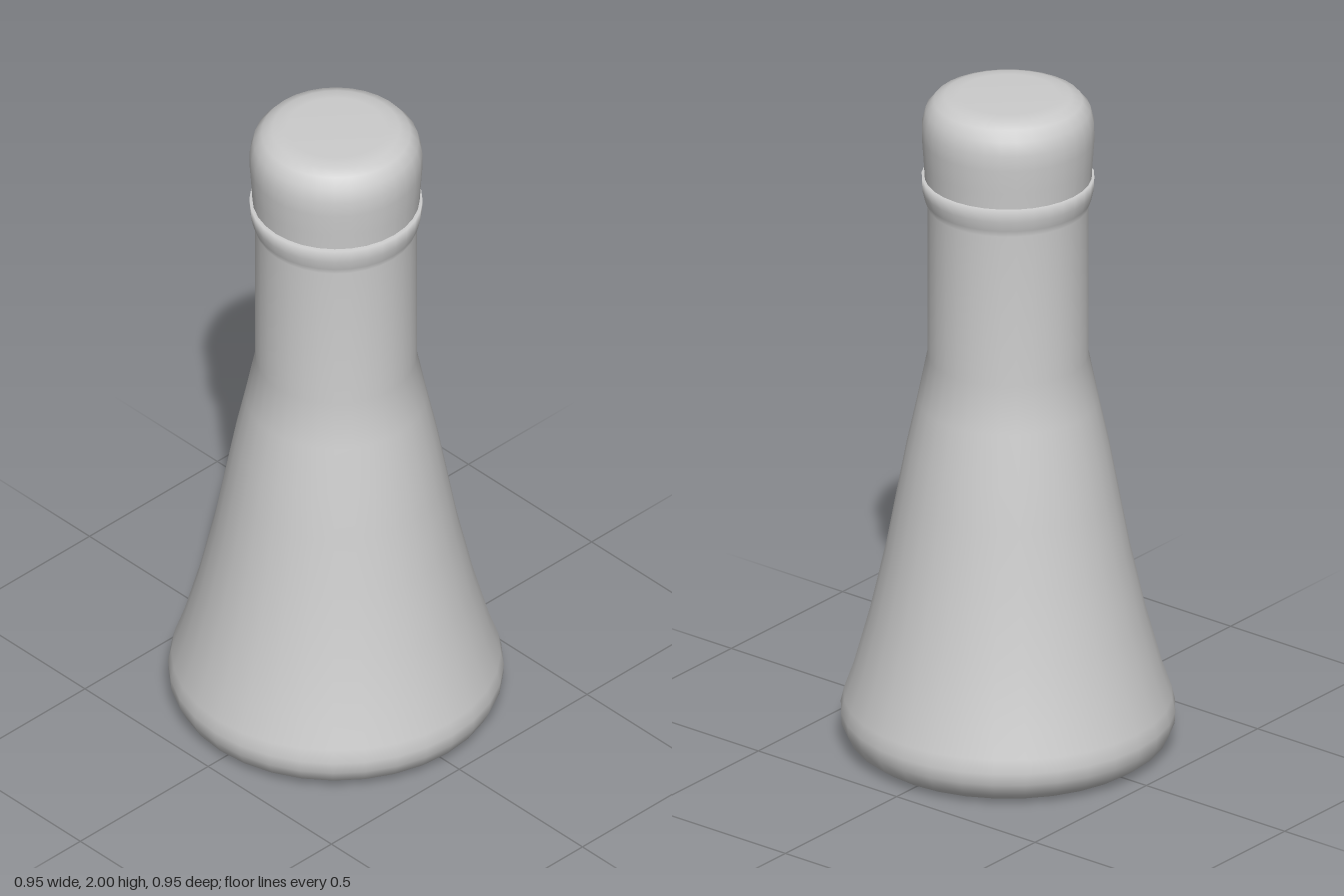
import * as THREE from 'three';

const SEGMENTS = 32;
// Thin shells: the flask is open underneath and shows its inside
const material = new THREE.MeshStandardMaterial({ color: 0xcccccc, side: THREE.DoubleSide });

// Turned part from [radius, height] pairs running bottom to top
function turned(name, profile) {
  const points = profile.map(([r, y]) => new THREE.Vector2(r, y));
  const mesh = new THREE.Mesh(new THREE.LatheGeometry(points, SEGMENTS), material);
  mesh.name = name;
  return mesh;
}

export function createModel() {
  const group = new THREE.Group();
  group.name = 'flask';

  // Rounded foot, flared body, straight neck and swollen lip with a closed top
  group.add(turned('body', [
    [0.38, 0.005], [0.42, 0.012], [0.452, 0.035], [0.471, 0.075], [0.473, 0.11],
    [0.464, 0.15], [0.436, 0.23], [0.39, 0.4], [0.345, 0.6], [0.312, 0.78],
    [0.286, 0.92], [0.256, 1.06], [0.228, 1.2],
    [0.228, 1.66], [0.235, 1.68], [0.242, 1.71], [0.244, 1.75], [0, 1.75],
  ]));

  // Stopper with a slightly bulging side and soft top edge
  const stopper = turned('stopper', [
    [0.236, 1.75], [0.239, 1.8], [0.244, 1.87], [0.243, 1.915], [0.233, 1.955],
    [0.21, 1.983], [0.18, 1.995], [0.14, 2], [0, 2],
  ]);
  stopper.position.set(-0.003, 0, -0.003);
  group.add(stopper);

  return group;
}
